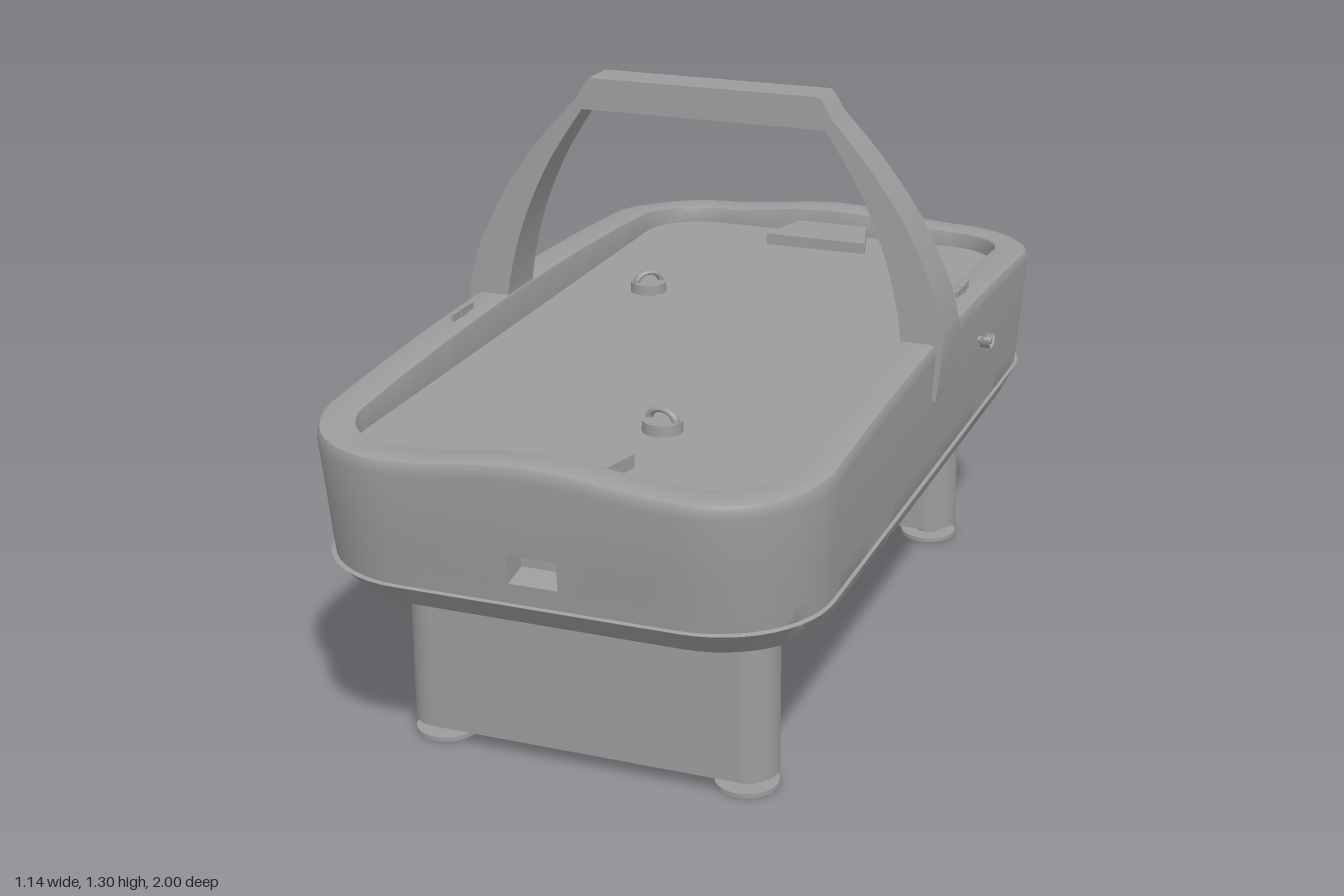
import * as THREE from 'three';
import { toCreasedNormals } from 'three/addons/utils/BufferGeometryUtils.js';

const CX = -0.008; // centre line of the table
const FLOOR = 0.70; // height of the playing surface
const COLOR = 0x9c9c9c;

export function createModel() {
  const group = new THREE.Group();
  const grey = new THREE.MeshStandardMaterial({ color: COLOR });
  const greyInside = new THREE.MeshStandardMaterial({ color: COLOR, side: THREE.BackSide });
  const greyBoth = new THREE.MeshStandardMaterial({ color: COLOR, side: THREE.DoubleSide });

  const add = (name, geometry, x = 0, y = 0, z = 0, parent = group, material = grey) => {
    const mesh = new THREE.Mesh(geometry, material);
    mesh.name = name;
    mesh.position.set(x, y, z);
    parent.add(mesh);
    return mesh;
  };

  // Rounded-rectangle outline; the second half is the first turned by 180 degrees
  const endXs = [-0.24, -0.19, -0.14, -0.095, -0.053, 0, 0.053, 0.095, 0.14, 0.19, 0.24];
  const outline = (hx, hz, r) => {
    const half = endXs.map(x => [x, hz]);
    const arc = 12, side = 24, ax = hx - r, az = hz - r;
    for (let i = 0; i <= arc; i++) {
      const t = (i / arc) * Math.PI / 2;
      half.push([ax + r * Math.sin(t), az + r * Math.cos(t)]);
    }
    for (let i = 1; i < side; i++) half.push([hx, az * (1 - 2 * i / side)]);
    for (let i = 0; i <= arc; i++) {
      const t = (i / arc) * Math.PI / 2;
      half.push([ax + r * Math.cos(t), -az - r * Math.sin(t)]);
    }
    return [...half, ...half.map(([x, z]) => [-x, -z])];
  };

  // The rim swells in the middle of every side
  const rimHeight = (x, z) => {
    const end = Math.abs(x) < 0.32 ? 0.026 * Math.cos(x / 0.32 * Math.PI / 2) ** 2 : 0;
    const side = Math.abs(z) < 0.9 ? 0.037 * (1 - (z / 0.9) ** 2) : 0;
    return 0.74 + Math.max(end, side);
  };

  // Table body: rings [half x, half z, corner radius, height, height is below the rim]
  const rings = [
    [0.509, 0.914, 0.22, 0.398],
    [0.539, 0.976, 0.235, 0.461],
    [0.532, 0.969, 0.235, 0.464],
    [0.535, 0.974, 0.235, 0.508],
    [0.539, 0.982, 0.24, 0.572],
    [0.548, 0.999, 0.245, 0.03, true],
    [0.547, 0.998, 0.245, 0.012, true],
    [0.543, 0.994, 0.24, 0.003, true],
    [0.535, 0.986, 0.235, 0, true],
    [0.472, 0.922, 0.155, 0, true],
    [0.466, 0.916, 0.15, 0.002, true],
    [0.464, 0.914, 0.148, 0.008, true],
    [0.464, 0.914, 0.148, FLOOR],
  ];
  const pos = [], index = [];
  let n = 0;
  for (const [hx, hz, r, h, below] of rings) {
    const pts = outline(hx, hz, r);
    n = pts.length;
    for (const [x, z] of pts) pos.push(x, below ? rimHeight(x, z) - h : h, z);
  }
  const windowRing = 3, last = rings.length - 1;
  for (let k = 0; k < last; k++) {
    for (let i = 0; i < n; i++) {
      const local = i % (n / 2);
      if (k === windowRing && (local === 4 || local === 5)) continue; // puck return opening
      const j = (i + 1) % n, a = k * n + i, b = k * n + j;
      index.push(a, b, b + n, a, b + n, a + n);
    }
  }
  const base = pos.length / 3;
  pos.push(0, rings[0][3], 0, 0, FLOOR, 0);
  for (let i = 0; i < n; i++) {
    const j = (i + 1) % n;
    index.push(base, j, i, base + 1, last * n + i, last * n + j);
  }
  const body = new THREE.BufferGeometry();
  body.setAttribute('position', new THREE.Float32BufferAttribute(pos, 3));
  body.setIndex(index);
  add('tableBody', toCreasedNormals(body, 0.6), CX, 0, 0);

  // Parts repeated at both ends of the table
  for (const s of [1, -1]) {
    const end = new THREE.Group();
    end.name = s > 0 ? 'frontEnd' : 'backEnd';
    end.position.x = CX;
    end.rotation.y = s > 0 ? 0 : Math.PI;
    group.add(end);

    // Puck return pocket with a gently sloping bottom
    const pocket = new THREE.BoxGeometry(0.106, 0.064, 0.07);
    const p = pocket.attributes.position;
    for (let i = 0; i < p.count; i++) {
      if (p.getY(i) < 0 && p.getZ(i) < 0) p.setY(i, -0.022);
      if (p.getY(i) < 0 && p.getZ(i) > 0) p.setZ(i, 0.028);
    }
    pocket.computeVertexNormals();
    add('puckReturn', pocket, 0, 0.54, 0.946, end, greyInside);

    // Goal plate on the playing surface
    const goal = new THREE.Shape([[-0.132, 0.77], [0.132, 0.77], [0.092, 0.915], [-0.092, 0.915]]
      .map(([x, z]) => new THREE.Vector2(x, z)));
    const plate = new THREE.ExtrudeGeometry(goal, { depth: 0.028, bevelEnabled: false });
    plate.rotateX(Math.PI / 2);
    add('goalPlate', plate, 0, FLOOR + 0.028, 0, end);

    // Wide leg with rounded ends
    const R = 0.068, L = 0.342;
    const stadium = new THREE.Shape();
    stadium.absarc(L, 0, R, -Math.PI / 2, Math.PI / 2);
    stadium.absarc(-L, 0, R, Math.PI / 2, Math.PI * 1.5);
    const leg = new THREE.ExtrudeGeometry(stadium, { depth: 0.37, bevelEnabled: false, curveSegments: 20 });
    leg.rotateX(-Math.PI / 2);
    add('leg', toCreasedNormals(leg, 0.6), 0, 0.035, 0.69, end);

    // Levelling feet
    for (const x of [-L, L]) {
      add('footStem', new THREE.CylinderGeometry(0.028, 0.028, 0.035, 24), x, 0.0225, 0.69, end);
      add('footDisc', new THREE.CylinderGeometry(0.068, 0.068, 0.01, 32), x, 0.005, 0.69, end);
    }

    // Small raised marks on the face of the overhead display
    for (const x of [-0.087, 0, 0.087]) {
      add('displayMark', new THREE.BoxGeometry(x ? 0.006 : 0.04, 0.005, 0.004), x, 1.265, 0.047, end);
    }
  }

  // Overhead arch, tapering in depth towards the top
  const v = (x, y) => new THREE.Vector2(x, y);
  const smooth = pts => new THREE.SplineCurve(pts.map(([x, y]) => v(x, y))).getPoints(14);
  const outer = [[-0.565, 0.79], [-0.538, 0.89], [-0.474, 1.025], [-0.386, 1.15], [-0.296, 1.251]];
  const inner = [[-0.284, 1.225], [-0.364, 1.1], [-0.422, 0.97], [-0.454, 0.86], [-0.468, 0.78]];
  const over = [v(-0.54, 0.65), v(-0.553, 0.65), ...smooth(outer), v(-0.275, 1.288), v(-0.266, 1.296)];
  const under = [...smooth(inner), v(-0.468, 0.765), v(-0.53, 0.765)];
  const flip = pts => pts.map(q => v(-q.x, q.y)).reverse();
  const archShape = new THREE.Shape([...over, ...flip(over), ...flip(under), ...under]);
  const arch = new THREE.ExtrudeGeometry(archShape, { depth: 2, bevelEnabled: false });
  arch.translate(0, 0, -1);
  const ap = arch.attributes.position;
  for (let i = 0; i < ap.count; i++) {
    const t = (ap.getY(i) - 0.65) / 0.645;
    ap.setZ(i, ap.getZ(i) * (0.073 - 0.027 * t));
  }
  add('overheadArch', toCreasedNormals(arch, 0.4), CX, 0, 0);

  // Score sliders on the side rails
  for (const [x, z] of [[-0.513, 0.23], [0.492, -0.33]]) {
    const slider = new THREE.Group();
    slider.name = 'scoreSlider';
    slider.position.set(x, rimHeight(x, z), z);
    group.add(slider);
    add('sliderTrack', new THREE.BoxGeometry(0.006, 0.024, 0.1), 0, 0.004, 0, slider);
    add('sliderKnob', new THREE.BoxGeometry(0.012, 0.03, 0.03), 0, 0.004, 0, slider);
  }

  // Strikers: a disc with a low bow handle
  for (const [x, z, turn] of [[-0.277, -0.3, 0.8], [0.1, 0.56, -0.2]]) {
    const striker = new THREE.Group();
    striker.name = 'striker';
    striker.position.set(x, FLOOR, z);
    striker.rotation.y = turn;
    group.add(striker);
    add('strikerDisc', new THREE.CylinderGeometry(0.042, 0.043, 0.024, 32), 0, 0.012, 0, striker);
    const bow = add('strikerHandle', new THREE.TorusGeometry(0.032, 0.008, 10, 24, Math.PI), 0, 0.022, 0, striker);
    bow.scale.set(1, 0.75, 1.2);
  }

  // Power inlet on the right-hand rail: stem, flange and half-round guard
  const inlet = new THREE.Group();
  inlet.name = 'powerInlet';
  inlet.position.set(0.53, 0.674, -0.327);
  inlet.rotation.z = -Math.PI / 2;
  group.add(inlet);
  add('inletStem', new THREE.CylinderGeometry(0.008, 0.008, 0.04, 16), 0.01, 0.018, 0, inlet);
  add('inletGuard', new THREE.CylinderGeometry(0.027, 0.027, 0.022, 20, 1, true, 0, Math.PI), 0, 0.028, 0, inlet, greyBoth);
  add('inletFlange', new THREE.CylinderGeometry(0.027, 0.027, 0.005, 20, 1, false, 0, Math.PI), 0, 0.018, 0, inlet, greyBoth);

  return group;
}
